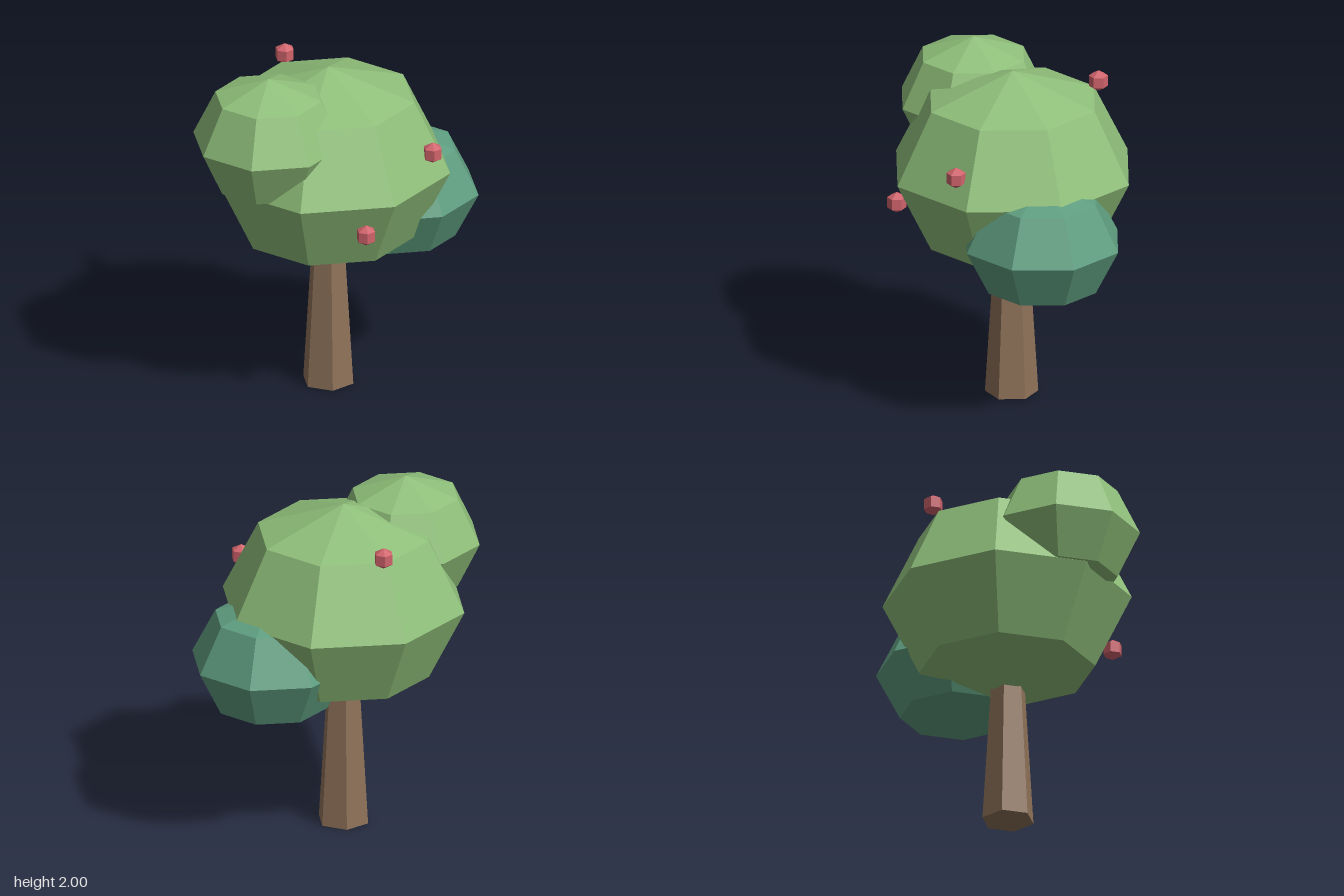
import * as THREE from 'three';

const flat = (color) => new THREE.MeshStandardMaterial({ color, flatShading: true });

export function createModel() {
  const tree = new THREE.Group();
  tree.name = 'tree';

  const add = (name, geometry, material, x, y, z) => {
    const mesh = new THREE.Mesh(geometry, material);
    mesh.name = name;
    mesh.position.set(x, y, z);
    tree.add(mesh);
    return mesh;
  };

  // Tapered six-sided trunk, its top hidden in the crown
  const trunkHeight = 0.9;
  add('trunk', new THREE.CylinderGeometry(0.095, 0.15, trunkHeight, 6), flat(0x8f7259), -0.04, trunkHeight / 2, -0.025);

  // Leaf clumps: squashed eight-sided balls with flat sides facing the axes
  const leaf = flat(0x8fbf7a);
  const darkLeaf = flat(0x5f9e80);
  const clump = (name, material, halfWidth, halfHeight, x, y, z) => {
    const radius = halfWidth / Math.cos(Math.PI / 8);
    const geometry = new THREE.SphereGeometry(radius, 8, 4);
    geometry.rotateY(Math.PI / 8);
    geometry.scale(1, halfHeight / radius, 1);
    add(name, geometry, material, x, y, z);
  };
  clump('mainCrown', leaf, 0.65, 0.59, -0.04, 1.355, -0.03);
  clump('upperClump', leaf, 0.4, 0.375, -0.417, 1.625, 0.185);
  clump('lowerClump', darkLeaf, 0.425, 0.375, 0.39, 1.085, -0.19);

  // Small faceted fruits, points towards front and back
  const fruit = flat(0xd0636b);
  const fruitShape = new THREE.SphereGeometry(0.062, 6, 3).rotateY(Math.PI / 2);
  const spots = [[0.5, 1.52, 0.295], [0.065, 1.193, 0.622], [-0.205, 1.815, -0.515]];
  spots.forEach(([x, y, z], i) => add(`fruit${i + 1}`, fruitShape, fruit, x, y, z));

  return tree;
}
